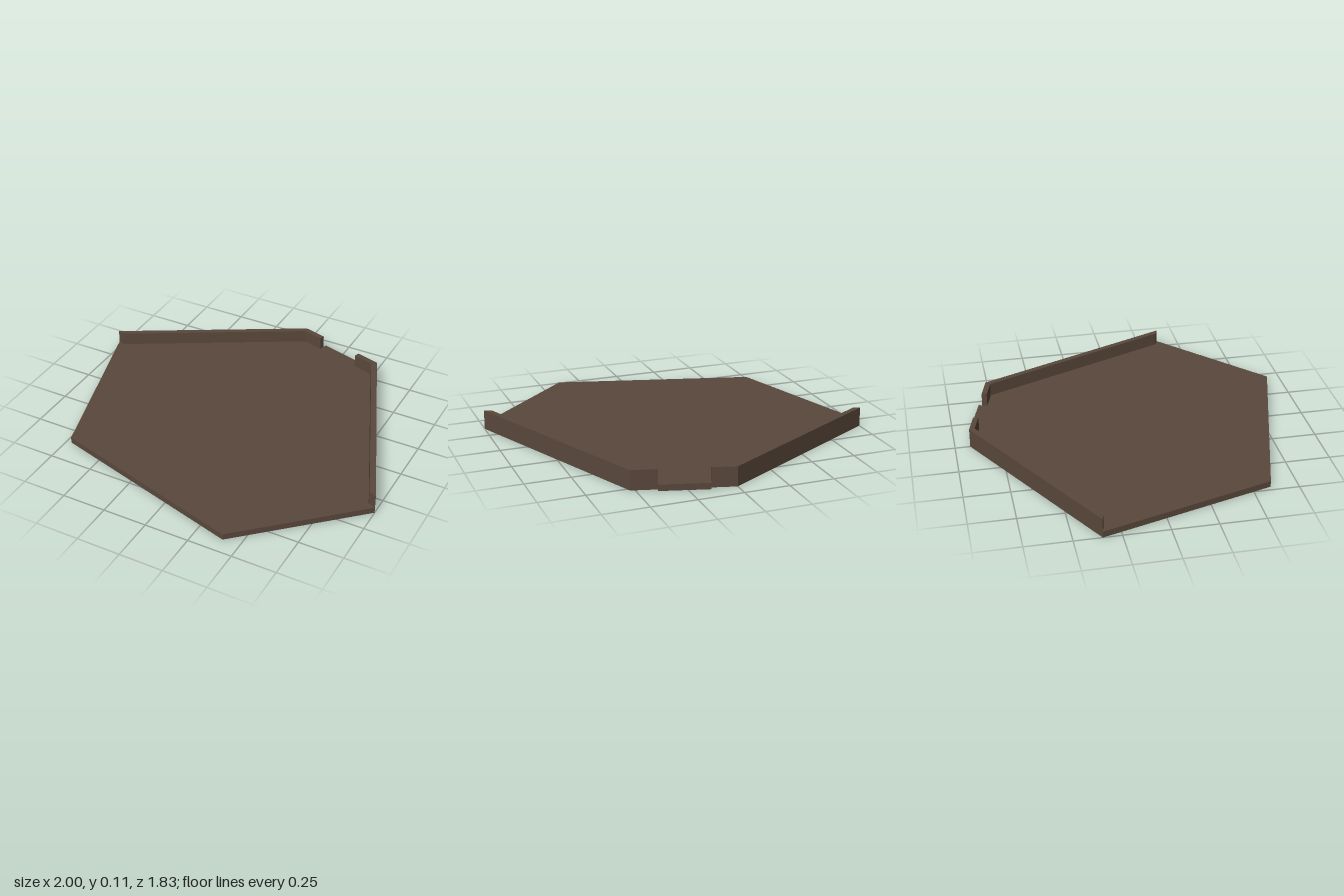
import * as THREE from 'three';

const FLOOR_H = 0.035;
const WALL_TOP = 0.11;

// Extrudes a plan outline of [x, z] points from y0 up to y1.
function slab(name, points, y0, y1, material) {
  const shape = new THREE.Shape(points.map(([x, z]) => new THREE.Vector2(x, -z)));
  const geometry = new THREE.ExtrudeGeometry(shape, { depth: y1 - y0, bevelEnabled: false });
  geometry.rotateX(-Math.PI / 2);
  geometry.translate(0, y0, 0);
  const mesh = new THREE.Mesh(geometry, material);
  mesh.name = name;
  return mesh;
}

export function createModel() {
  const model = new THREE.Group();
  model.name = 'walledPlatform';

  const brown = new THREE.MeshStandardMaterial({ color: 0x5a483c });
  brown.name = 'darkBrown';

  // Six-sided floor, with a doorstep projecting through the gap in the back wall
  model.add(slab('floor', [
    [-1, -0.35], [-0.72, 0.6], [0.403, 0.912], [1, 0.36], [0.525, -0.772],
    [0.389, -0.809], [0.396, -0.829], [0.137, -0.902], [0.13, -0.881], [0, -0.916],
  ], 0, FLOOR_H, brown));

  // Left-hand wall, turning the back corner as far as the doorway
  model.add(slab('backLeftWall', [
    [-1, -0.35], [-0.96, -0.338], [0.007, -0.885], [0.122, -0.853],
    [0.13, -0.881], [0, -0.916],
  ], FLOOR_H, WALL_TOP, brown));

  // Right-hand wall, starting at the other side of the doorway
  model.add(slab('backRightWall', [
    [0.389, -0.809], [0.381, -0.78], [0.499, -0.748], [0.958, 0.345],
    [1, 0.36], [0.525, -0.772],
  ], FLOOR_H, WALL_TOP, brown));

  return model;
}
